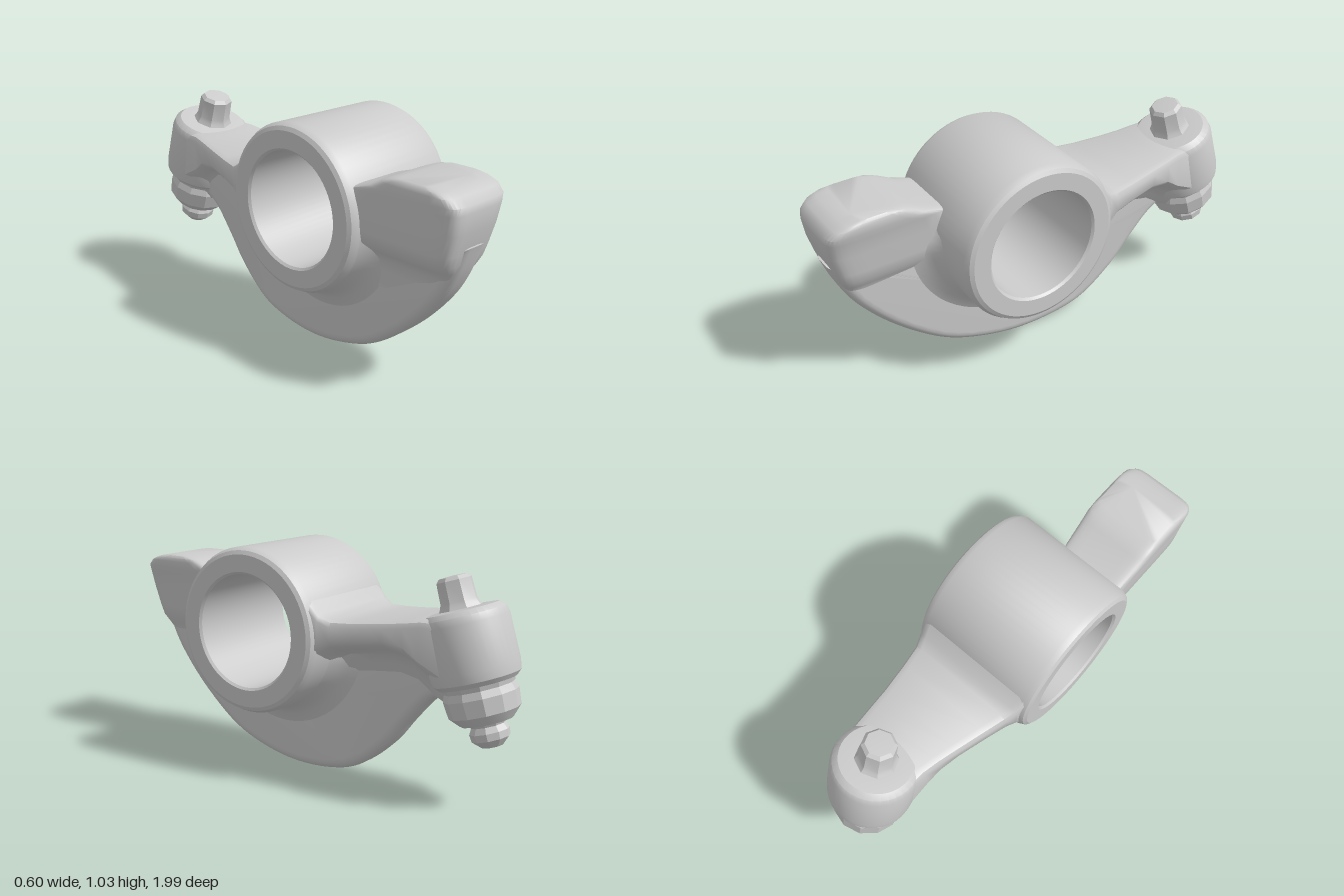
import * as THREE from 'three';
import { toCreasedNormals, mergeVertices } from 'three/addons/utils/BufferGeometryUtils.js';

const material = new THREE.MeshStandardMaterial({ color: 0xcccccc, side: THREE.DoubleSide });
const BORE_Y = 0.665, BORE_Z = 0.17;

function part(name, geometry, crease = 0.6) {
  const mesh = new THREE.Mesh(toCreasedNormals(geometry, crease), material);
  mesh.name = name;
  return mesh;
}

// The web runs slightly askew: its middle drifts sideways along z.
function skew(geometry) {
  const p = geometry.attributes.position;
  for (let i = 0; i < p.count; i++) p.setX(i, p.getX(i) - 0.04 - 0.06 * p.getZ(i));
  return geometry;
}

// Skins a list of equal-length point loops; optionally closes both ends.
function loft(loops, capped) {
  const n = loops[0].length, index = [];
  for (let i = 0; i < loops.length - 1; i++) {
    for (let j = 0; j < n; j++) {
      const a = i * n + j, b = i * n + (j + 1) % n;
      index.push(a, b, b + n, a, b + n, a + n);
    }
  }
  if (capped) {
    const e = (loops.length - 1) * n;
    for (let j = 1; j < n - 1; j++) index.push(0, j + 1, j, e, e + j, e + j + 1);
  }
  const g = new THREE.BufferGeometry();
  g.setAttribute('position', new THREE.Float32BufferAttribute(loops.flat(2), 3));
  g.setIndex(index);
  return g;
}

const vectors = (pairs) => pairs.map(([x, y]) => new THREE.Vector2(x, y));

// Lathe turned so that its axis lies along x, through the bore.
function alongBore(geometry) {
  return geometry.rotateZ(-Math.PI / 2).translate(0, BORE_Y, BORE_Z);
}

function pivotTube() {
  const profile = vectors([
    [0.25, -0.29], [0.26, -0.3], [0.335, -0.3], [0.352, -0.29], [0.365, -0.265],
    [0.365, 0.265], [0.352, 0.29], [0.335, 0.3], [0.26, 0.3], [0.25, 0.29], [0.25, -0.29],
  ]);
  return part('pivotTube', alongBore(new THREE.LatheGeometry(profile, 64)), 0.5);
}

// Concave blend between tube and web, fading out at both ends of the sweep.
function tubeFillet() {
  const half = [[0.355, 0.21], [0.368, 0.17], [0.388, 0.13], [0.42, 0.095], [0.48, 0.066]];
  const profile = vectors([...half.map(([r, x]) => [r, -x]), ...half.slice().reverse()]);
  const start = -0.3, sweep = Math.PI + 0.4;
  const g = new THREE.LatheGeometry(profile, 48, start, sweep);
  const p = g.attributes.position;
  for (let i = 0; i < p.count; i++) {
    const r = Math.hypot(p.getX(i), p.getZ(i));
    const phi = start + sweep * Math.floor(i / profile.length) / 48;
    const fade = THREE.MathUtils.smoothstep(Math.min(phi - start, start + sweep - phi), 0, 0.35);
    const k = (0.355 + (r - 0.355) * fade) / r;
    p.setX(i, p.getX(i) * k);
    p.setZ(i, p.getZ(i) * k);
  }
  return part('tubeFillet', skew(alongBore(g)), 0.9);
}

// Crescent plate below the tube, drawn in (z, y) and extruded across x.
function web() {
  const rim = vectors([
    [0.98, 0.68], [0.93, 0.55], [0.85, 0.42], [0.7, 0.26], [0.5, 0.11], [0.3, 0.035], [0.1, 0.005],
    [-0.1, 0.02], [-0.25, 0.07], [-0.4, 0.19], [-0.5, 0.31], [-0.6, 0.42], [-0.68, 0.47],
  ]);
  const shape = new THREE.Shape();
  shape.moveTo(0.98, 0.68);
  shape.splineThru(rim.slice(1));
  shape.lineTo(-0.66, 0.7);
  shape.lineTo(BORE_Z - 0.3, BORE_Y);
  shape.absarc(BORE_Z, BORE_Y, 0.3, Math.PI, 2 * Math.PI, false);
  const g = new THREE.ExtrudeGeometry(shape, {
    depth: 0.06, bevelThickness: 0.045, bevelSize: 0.045, bevelOffset: -0.045,
    bevelSegments: 5, curveSegments: 5,
  });
  return part('web', skew(g.translate(0, 0, -0.03).rotateY(-Math.PI / 2)), 0.5);
}

// Tapering rear arm with a T section that flows down into the web.
function rearArm() {
  const stations = [ // z, centre x, half width, top, underside
    [-0.12, 0, 0.28, 0.86, 0.56], [-0.16, 0, 0.28, 0.825, 0.585], [-0.2, 0, 0.272, 0.78, 0.62],
    [-0.25, 0, 0.255, 0.758, 0.645], [-0.35, 0.005, 0.233, 0.762, 0.66], [-0.48, 0.012, 0.207, 0.775, 0.675],
    [-0.57, 0.018, 0.192, 0.787, 0.66], [-0.64, 0.02, 0.182, 0.798, 0.61], [-0.74, 0.02, 0.175, 0.8, 0.56],
  ];
  const loops = stations.map(([z, cx, w, top, low]) => {
    const side = [
      [0.05, low - 0.14], [0.075, low - 0.1], [0.1, low - 0.055], [w * 0.72, low - 0.025], [w - 0.015, low],
      [w, low + 0.02], [w, top - 0.03], [w - 0.01, top - 0.01], [w - 0.035, top],
    ];
    const mirrored = side.map(([u, y]) => [-u, y]).reverse();
    return [...side, ...mirrored].map(([u, y]) => [cx - u, y, z]);
  });
  return part('rearArm', loft(loops, false), 0.7);
}

// Front contact pad with rounded crown, narrowing underneath into the web.
function contactPad() {
  const levels = [ // y, x from, x to, z from, z to
    [0.4, -0.15, -0.01, 0.44, 0.8], [0.48, -0.16, -0.02, 0.44, 0.87], [0.53, -0.172, -0.02, 0.43, 0.905],
    [0.57, -0.2, 0.0, 0.42, 0.93], [0.61, -0.245, 0.025, 0.42, 0.95], [0.66, -0.257, 0.035, 0.42, 0.965],
    [0.75, -0.26, 0.045, 0.42, 0.99], [0.83, -0.265, 0.06, 0.46, 1.0], [0.86, -0.267, 0.07, 0.56, 0.995],
    [0.89, -0.267, 0.073, 0.62, 0.965], [0.907, -0.262, 0.07, 0.66, 0.92], [0.917, -0.25, 0.06, 0.71, 0.87],
  ];
  const round = (v) => Math.sign(v) * Math.abs(v) ** 0.28;
  const loops = levels.map(([y, x0, x1, z0, z1]) => Array.from({ length: 32 }, (_, i) => {
    const a = (i + 0.5) / 32 * Math.PI * 2;
    return [
      (x0 + x1) / 2 + round(Math.sin(a)) * (x1 - x0) / 2, y,
      (z0 + z1) / 2 + round(Math.cos(a)) * (z1 - z0) / 2,
    ];
  }));
  return part('contactPad', loft(loops, true), 0.7);
}

// Tilted boss at the rear tip, carrying the adjusting screw and its foot.
function adjuster() {
  const group = new THREE.Group();
  group.name = 'adjuster';
  const turned = (name, pairs, sides, crease) =>
    group.add(part(name, new THREE.LatheGeometry(vectors(pairs), sides), crease));
  turned('boss', [
    [0, -0.17], [0.16, -0.17], [0.18, -0.15], [0.186, -0.11], [0.186, 0.08],
    [0.178, 0.11], [0.155, 0.13], [0.1, 0.135], [0, 0.13],
  ], 36, 0.6);
  turned('lockCollar', [
    [0, -0.33], [0.11, -0.33], [0.148, -0.29], [0.155, -0.22], [0.145, -0.19], [0.16, -0.15],
  ], 12, 0.4);
  turned('screwFoot', [
    [0, -0.44], [0.045, -0.432], [0.08, -0.4], [0.083, -0.37], [0.07, -0.345], [0.085, -0.32],
  ], 10, 0.4);
  turned('screwHead', [
    [0.1, 0.12], [0.085, 0.145], [0.077, 0.165], [0.074, 0.25], [0.06, 0.265], [0, 0.268],
  ], 8, 0.4);
  group.rotation.x = 0.298;
  group.position.set(0.02, 0.7, -0.765);
  return group;
}

export function createModel() {
  const model = new THREE.Group();
  model.name = 'rockerArm';
  model.add(pivotTube(), tubeFillet(), web(), rearArm(), contactPad(), adjuster());
  return model;
}
